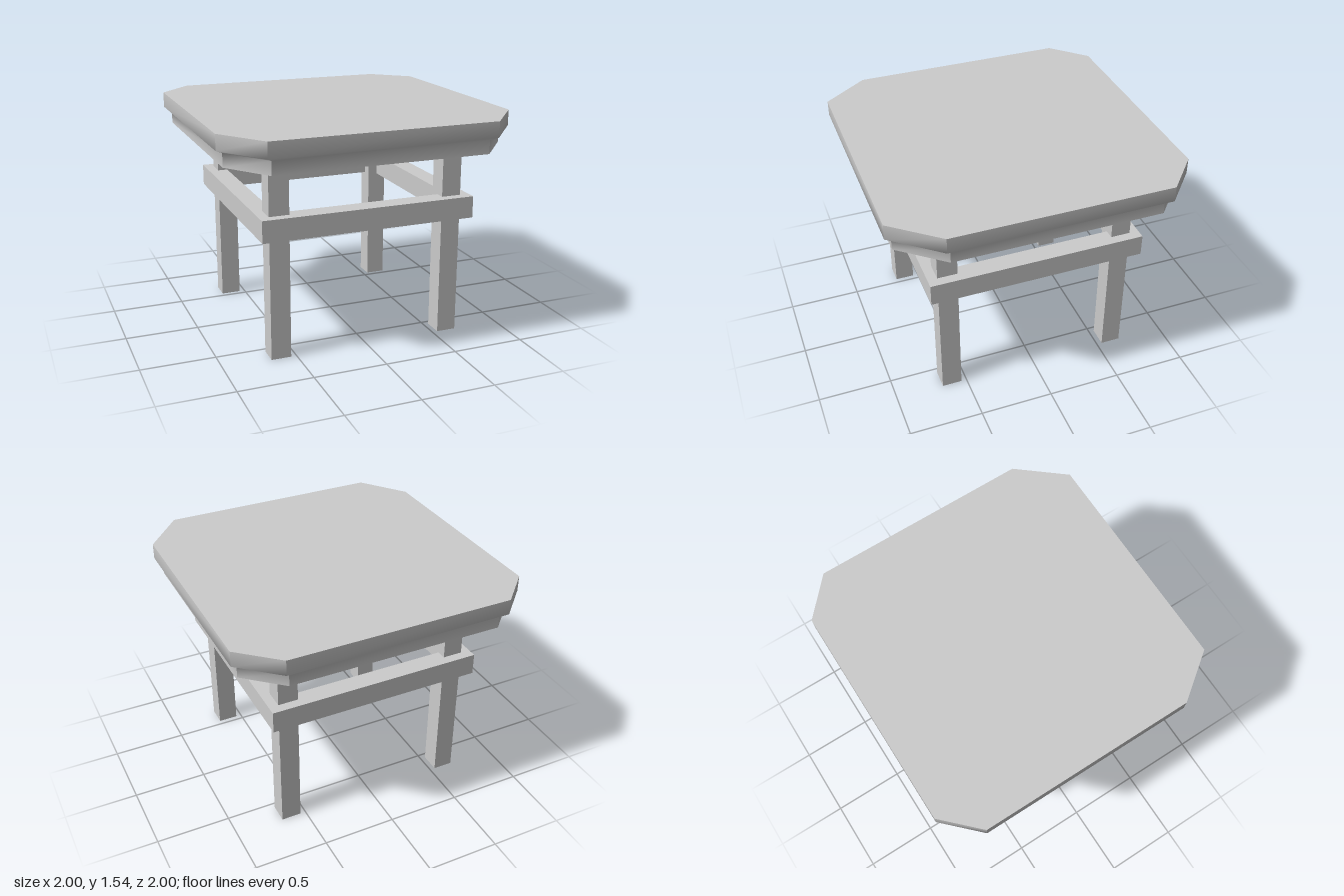
import * as THREE from 'three';

const material = new THREE.MeshStandardMaterial({ color: 0xcccccc });

// Table outline: chamfered square as [x, z]; front corners are cut deeper than the back
const OUTLINE = [
  [-0.775, 1], [0.748, 1], [1, 0.695], [1, -0.775],
  [0.748, -1], [-0.775, -1], [-1, -0.775], [-1, 0.695],
];
// Edge moulding from bottom to top as [outline scale, y]
const PROFILE = [[0.952, 1.318], [0.952, 1.408], [1, 1.432], [1, 1.537]];

function addMesh(parent, geometry, name) {
  const mesh = new THREE.Mesh(geometry, material);
  mesh.name = name;
  parent.add(mesh);
  return mesh;
}

// Moulded rim: each facet is smooth up its profile and sharp against its neighbours
function rimGeometry() {
  const positions = [], indices = [];
  OUTLINE.forEach((a, i) => {
    const b = OUTLINE[(i + 1) % OUTLINE.length];
    const base = positions.length / 3;
    PROFILE.forEach(([s, y], row) => {
      positions.push(a[0] * s, y, a[1] * s, b[0] * s, y, b[1] * s);
      if (row === 0) return;
      const k = base + (row - 1) * 2;
      indices.push(k, k + 1, k + 3, k, k + 3, k + 2);
    });
  });
  const geometry = new THREE.BufferGeometry();
  geometry.setAttribute('position', new THREE.Float32BufferAttribute(positions, 3));
  geometry.setIndex(indices);
  geometry.computeVertexNormals();
  return geometry;
}

// Flat cap of the outline, facing up or down
function capGeometry([scale, y], up) {
  const sign = up ? -1 : 1;
  const shape = new THREE.Shape(OUTLINE.map(([x, z]) => new THREE.Vector2(x * scale, sign * z * scale)));
  return new THREE.ShapeGeometry(shape).rotateX(sign * Math.PI / 2).translate(0, y, 0);
}

function squarePoints(r) {
  return [[-r, -r], [r, -r], [r, r], [-r, r]].map(([x, y]) => new THREE.Vector2(x, y));
}

export function createModel() {
  const model = new THREE.Group();
  model.name = 'table';

  // Tabletop
  const top = new THREE.Group();
  top.name = 'tabletop';
  addMesh(top, rimGeometry(), 'mouldedRim');
  addMesh(top, capGeometry(PROFILE[3], true), 'topSurface');
  addMesh(top, capGeometry(PROFILE[0], false), 'underside');
  model.add(top);

  // Four square legs
  const legHeight = 1.318;
  const legGeometry = new THREE.BoxGeometry(0.135, legHeight, 0.135);
  for (const [z, end] of [[1, 'front'], [-1, 'back']]) {
    for (const [x, side] of [[1, 'Left'], [-1, 'Right']]) {
      const leg = addMesh(model, legGeometry, `${end}${side}Leg`);
      leg.position.set(x * 0.605, legHeight / 2, z * 0.605);
    }
  }

  // Square stretcher frame around the legs
  const frame = new THREE.Shape(squarePoints(0.737));
  frame.holes.push(new THREE.Path(squarePoints(0.605).reverse()));
  const frameGeometry = new THREE.ExtrudeGeometry(frame, { depth: 0.148, bevelEnabled: false })
    .rotateX(-Math.PI / 2)
    .translate(0, 0.829, 0);
  addMesh(model, frameGeometry, 'stretcherFrame');

  return model;
}
